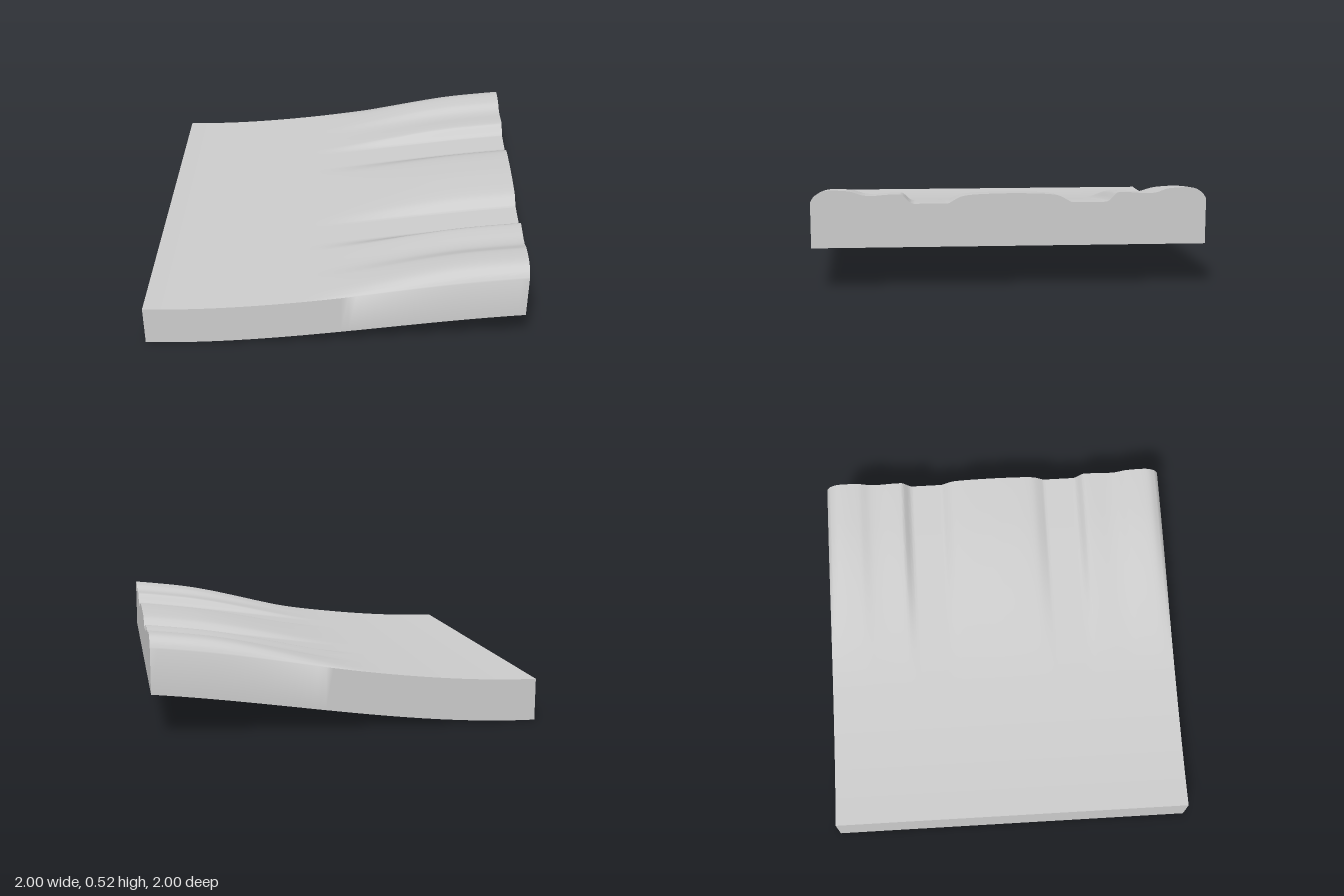
import * as THREE from 'three';
import { toCreasedNormals } from 'three/addons/utils/BufferGeometryUtils.js';

// Ridge heights above the plain slab at its raised end: (z, height), centre to edge
const RIDGES = [
  [0, 0.049], [0.11, 0.047], [0.19, 0.043], [0.245, 0.035], [0.285, 0.015],
  [0.31, 0.001], [0.34, 0], [0.46, 0], [0.49, 0.001], [0.51, 0.013],
  [0.535, 0.039], [0.555, 0.049], [0.62, 0.047], [0.685, 0.042], [0.74, 0.045],
  [0.78, 0.058], [0.81, 0.066], [0.89, 0.071], [0.94, 0.066], [0.97, 0.05],
  [0.985, 0.037], [1, 0.012],
];
const THICKNESS = 0.221;

// Gentle upward sweep of the underside
function sweep(x) {
  const t = (x + 1) / 2;
  return 0.471 * t * t - 0.246 * t * t * t;
}

export function createModel() {
  const group = new THREE.Group();
  const stone = new THREE.MeshStandardMaterial({ color: 0xcccccc });
  stone.name = 'light grey';

  // Smooth half profile, mirrored across z = 0
  const half = new THREE.SplineCurve(RIDGES.map(([z, h]) => new THREE.Vector2(z, h)))
    .getPoints((RIDGES.length - 1) * 3);
  const profile = [
    ...half.slice(1).reverse().map((p) => new THREE.Vector2(-p.x, p.y)),
    ...half,
  ];
  const n = profile.length - 1;

  // Bend a subdivided box along the sweep; ridges fade in toward +x
  const box = new THREE.BoxGeometry(2, 1, 2, 50, 1, n);
  const pos = box.attributes.position;
  for (let i = 0; i < pos.count; i++) {
    const x = pos.getX(i);
    const p = profile[Math.round(((pos.getZ(i) + 1) / 2) * n)];
    const fade = THREE.MathUtils.smoothstep(x, -0.2, 0.75);
    const top = pos.getY(i) > 0;
    pos.setXYZ(i, x, sweep(x) + (top ? THICKNESS + Math.max(p.y, 0) * fade : 0), p.x);
  }

  // Rounded ridges and rim stay smooth, slab edges stay sharp
  const slab = new THREE.Mesh(toCreasedNormals(box, 1.15), stone);
  slab.name = 'ridgedSlab';
  group.add(slab);
  return group;
}
